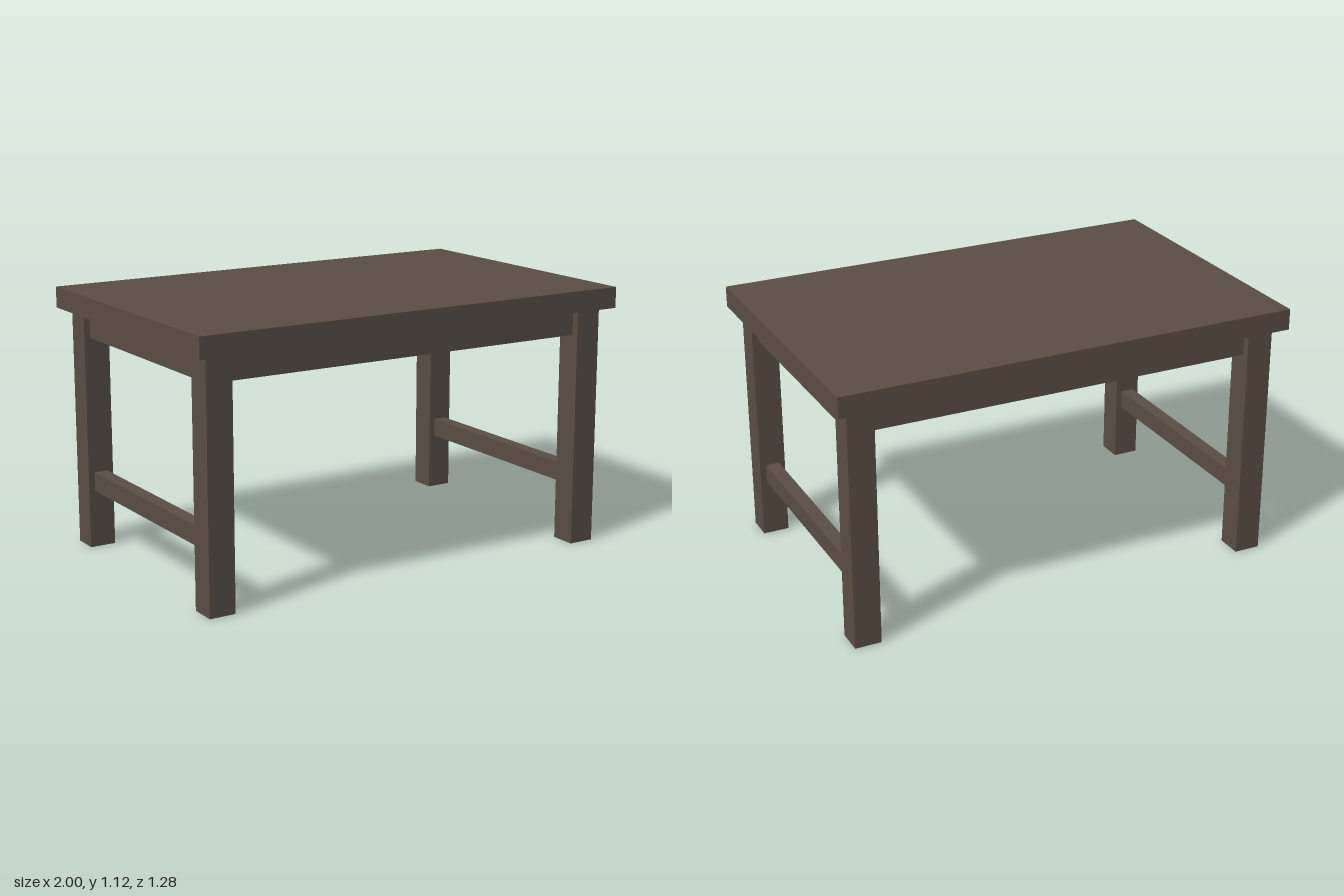
import * as THREE from 'three';

export function createModel() {
  const model = new THREE.Group();
  model.name = 'table';
  const wood = new THREE.MeshStandardMaterial({ color: 0x5a4e44 });
  wood.name = 'dark wood';

  // Box given by its size, centre and underside height
  const addBox = (name, [w, h, d], x, bottom, z) => {
    const mesh = new THREE.Mesh(new THREE.BoxGeometry(w, h, d), wood);
    mesh.name = name;
    mesh.position.set(x, bottom + h / 2, z);
    model.add(mesh);
  };

  const leg = 0.114, legX = 0.893, legZ = 0.535;
  const topBottom = 1.033, apronBottom = 0.92;
  const apronHeight = topBottom - apronBottom;
  const spanX = 2 * legX - leg, spanZ = 2 * legZ - leg;

  addBox('tableTop', [2, 0.09, 1.28], 0, topBottom, 0);

  for (const s of [-1, 1]) {
    const side = s > 0 ? 'left' : 'right';
    const end = s > 0 ? 'front' : 'back';
    // Legs
    for (const t of [-1, 1]) {
      addBox(`${side}${t > 0 ? 'Front' : 'Back'}Leg`, [leg, topBottom, leg], s * legX, 0, t * legZ);
    }
    // Aprons between the legs, under the top
    addBox(`${end}Apron`, [spanX, apronHeight, 0.05], 0, apronBottom, s * legZ);
    addBox(`${side}Apron`, [0.06, apronHeight, spanZ], s * legX, apronBottom, 0);
    // Low stretcher at each short end
    addBox(`${side}Stretcher`, [0.06, 0.082, spanZ], s * legX, 0.25, 0);
  }
  return model;
}
